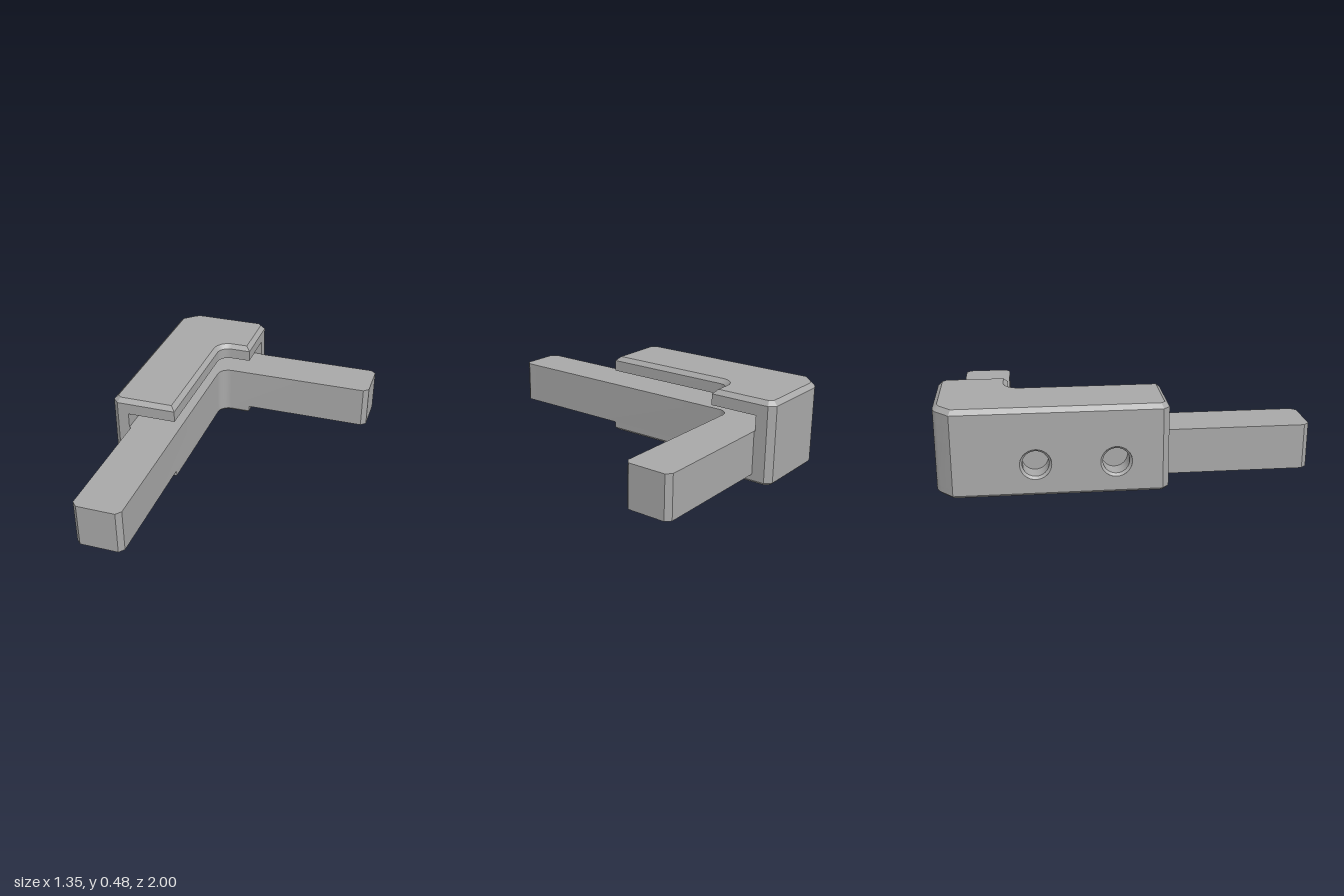
import * as THREE from 'three';
import { toCreasedNormals } from 'three/addons/utils/BufferGeometryUtils.js';

// Stacks plan outlines ([x, z], counter-clockwise from above) at levels [y, inset].
function loft(plan, levels) {
  const pts = plan.map(([x, z]) => new THREE.Vector2(x, -z));
  const n = pts.length;
  const normal = (a, b) => new THREE.Vector2(a.y - b.y, b.x - a.x).normalize();
  const rings = levels.map(([y, inset]) => pts.map((p, i) => {
    const n1 = normal(pts[(i + n - 1) % n], p);
    const n2 = normal(p, pts[(i + 1) % n]);
    const k = inset / (1 + n1.dot(n2));
    return [p.x + (n1.x + n2.x) * k, y, -(p.y + (n1.y + n2.y) * k)];
  }));
  const pos = [];
  const tri = (a, b, c) => pos.push(...a, ...b, ...c);
  for (let l = 0; l + 1 < rings.length; l++) {
    for (let i = 0; i < n; i++) {
      const j = (i + 1) % n;
      tri(rings[l][i], rings[l][j], rings[l + 1][j]);
      tri(rings[l][i], rings[l + 1][j], rings[l + 1][i]);
    }
  }
  const top = rings[rings.length - 1];
  const bottom = rings[0];
  for (const [a, b, c] of THREE.ShapeUtils.triangulateShape(pts, [])) {
    tri(top[a], top[b], top[c]);
    tri(bottom[c], bottom[b], bottom[a]);
  }
  const geo = new THREE.BufferGeometry();
  geo.setAttribute('position', new THREE.Float32BufferAttribute(pos, 3));
  return toCreasedNormals(geo, 0.35);
}

export function createModel() {
  const model = new THREE.Group();
  const grey = new THREE.MeshStandardMaterial({ color: 0xa8a8a8, side: THREE.DoubleSide });
  grey.name = 'plain grey';
  const add = (name, geo) => {
    const mesh = new THREE.Mesh(geo, grey);
    mesh.name = name;
    model.add(mesh);
    return mesh;
  };

  // Shared plan pieces: inner fillet and outer back corner
  const fillet = [];
  for (let i = 0; i <= 8; i++) {
    const t = (i / 8) * Math.PI / 2;
    fillet.push([-0.22 - 0.07 * Math.cos(t), -0.545 - 0.07 * Math.sin(t)]);
  }
  const curve = new THREE.QuadraticBezierCurve(
    new THREE.Vector2(-0.54, -1), new THREE.Vector2(-0.575, -1), new THREE.Vector2(-0.605, -0.975));
  const backEdge = [[-0.1, -0.965], [-0.135, -1],
    ...curve.getPoints(6).map((p) => [p.x, p.y]), [-0.675, -0.91]];

  // L-shaped bar with chamfered ends
  add('lBar', loft([
    [-0.535, 1], [-0.315, 1], [-0.29, 0.97], ...fillet,
    [0.645, -0.615], [0.675, -0.642], [0.675, -0.863], [0.645, -0.89],
    [-0.565, -0.89], [-0.565, 0.97],
  ], [[0.05, 0], [0.30, 0]]));

  // Holder floor and roof with bevelled rims
  const holder = [[-0.64, 0.22], [-0.29, 0.22], ...fillet, [-0.1, -0.615], ...backEdge, [-0.675, 0.185]];
  add('holderFloor', loft(holder, [[0, 0.015], [0.015, 0], [0.05, 0]]));
  add('holderRoof', loft(holder, [[0.39, 0], [0.455, 0], [0.48, 0.025]]));

  // Wall around the open slot above the bar
  add('slotWall', loft([
    [-0.64, 0.22], [-0.575, 0.22], [-0.575, -0.865], [-0.545, -0.895], [-0.1, -0.895],
    ...backEdge, [-0.675, 0.185],
  ], [[0.30, 0], [0.39, 0]]));

  // Wall behind the bar, in three pieces
  add('backWall', loft([
    [-0.675, -0.885], [-0.565, -0.885], [-0.1, -0.885], ...backEdge,
  ], [[0.05, 0], [0.30, 0]]));
  add('frontWallEnd', loft([
    [-0.675, 0.185], [-0.64, 0.22], [-0.565, 0.22], [-0.565, 0.185],
  ], [[0.05, 0], [0.30, 0]]));

  // Side wall with two screw holes
  const holeZ = [-0.48, -0.06];
  const holeY = 0.175;
  const side = new THREE.Shape([
    new THREE.Vector2(-0.185, 0.05), new THREE.Vector2(0.885, 0.05),
    new THREE.Vector2(0.885, 0.30), new THREE.Vector2(-0.185, 0.30),
  ]);
  for (const z of holeZ) side.holes.push(new THREE.Path().absarc(-z, holeY, 0.083, 0, Math.PI * 2, true));
  add('sideWall', new THREE.ExtrudeGeometry(side, { depth: 0.11, bevelEnabled: false, curveSegments: 32 })
    .rotateY(Math.PI / 2).translate(-0.675, 0, 0));

  // Countersunk hole linings
  const lining = toCreasedNormals(new THREE.LatheGeometry([
    new THREE.Vector2(0.07, 0.11), new THREE.Vector2(0.07, 0.014), new THREE.Vector2(0.083, 0),
  ], 32), 0.35).rotateZ(-Math.PI / 2);
  for (const z of holeZ) add('screwHole', lining).position.set(-0.675, holeY, z);

  return model;
}
